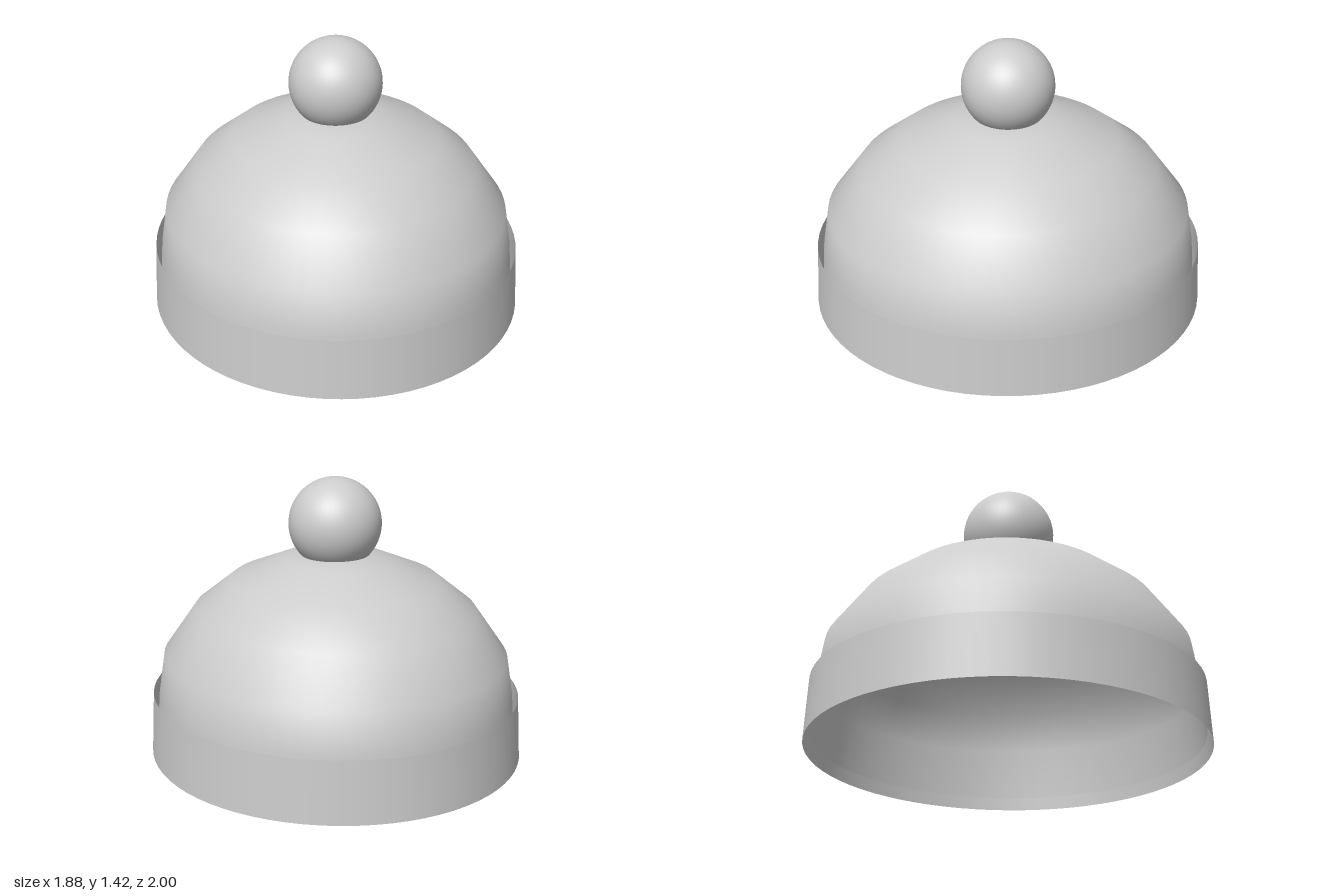
import * as THREE from 'three';

const WIDTH = 0.94; // the hat is slightly narrower than it is deep

export function createModel() {
  const hat = new THREE.Group();
  hat.name = 'bobbleHat';
  const knit = new THREE.MeshStandardMaterial({ color: 0xcccccc, side: THREE.DoubleSide });
  knit.name = 'greyKnit';

  // Revolved open shell with an oval footprint; profile is [radius, height], bottom to top
  const addShell = (name, profile) => {
    const points = profile.map(([r, y]) => new THREE.Vector2(r, y));
    const geometry = new THREE.LatheGeometry(points, 72);
    geometry.scale(WIDTH, 1, 1);
    const mesh = new THREE.Mesh(geometry, knit);
    mesh.name = name;
    hat.add(mesh);
  };

  // Crown, hanging down inside the cuff
  addShell('crown', [
    [0.972, 0.06], [0.952, 0.32], [0.92, 0.52], [0.752, 0.75],
    [0.555, 0.9], [0.275, 1.013], [0.14, 1.035], [0, 1.037],
  ]);

  // Turned-up cuff, standing just clear of the crown
  addShell('cuff', [[1, 0], [0.984, 0.317]]);

  // Bobble on top
  const bobble = new THREE.Mesh(new THREE.SphereGeometry(0.233, 48, 32), knit);
  bobble.name = 'bobble';
  bobble.position.y = 1.185;
  hat.add(bobble);

  return hat;
}
